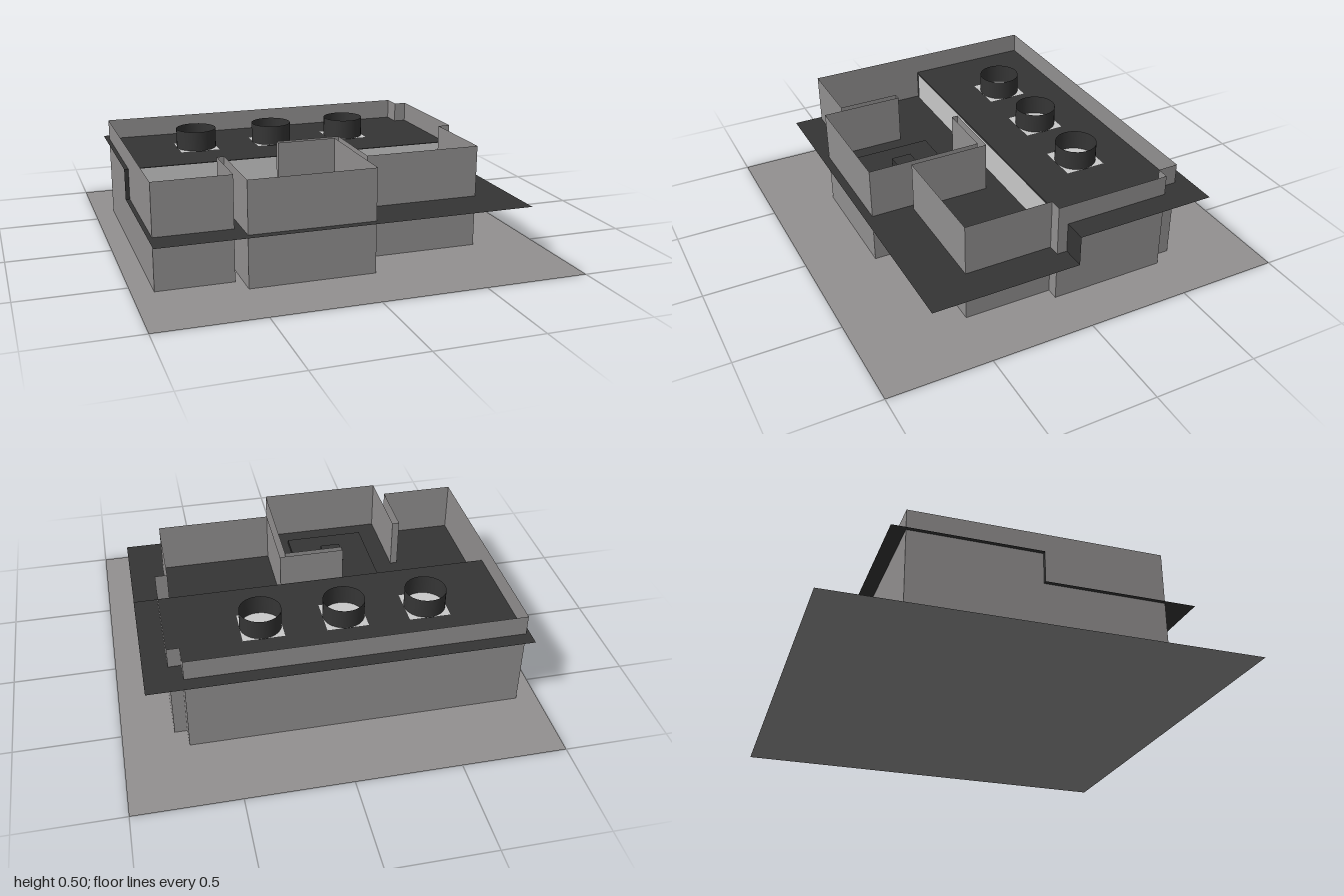
import * as THREE from 'three';

const mat = (name, color) => {
  const m = new THREE.MeshStandardMaterial({ color, side: THREE.DoubleSide });
  m.name = name;
  return m;
};

// Upright sheet following a plan path of [x, z] points
function sheet(path, y0, y1) {
  const pos = [], idx = [];
  for (let i = 0; i < path.length - 1; i++) {
    const [ax, az] = path[i], [bx, bz] = path[i + 1], n = i * 4;
    pos.push(ax, y0, az, bx, y0, bz, bx, y1, bz, ax, y1, az);
    idx.push(n, n + 1, n + 2, n, n + 2, n + 3);
  }
  const g = new THREE.BufferGeometry();
  g.setAttribute('position', new THREE.Float32BufferAttribute(pos, 3));
  g.setIndex(idx);
  g.computeVertexNormals();
  return g;
}

// Level sheet between two corners
function level(x0, x1, z0, z1, y) {
  return new THREE.PlaneGeometry(x1 - x0, z1 - z0).rotateX(-Math.PI / 2)
    .translate((x0 + x1) / 2, y, (z0 + z1) / 2);
}

export function createModel() {
  const group = new THREE.Group();
  const grey = mat('concrete grey', 0x929090);
  const dark = mat('roof charcoal', 0x353535);
  const light = mat('pale grey', 0xc9c9c9);
  const add = (name, geometry, material) => {
    const m = new THREE.Mesh(geometry, material);
    m.name = name;
    group.add(m);
    return m;
  };

  add('ground', level(-1, 1, -1, 1, 0), grey);

  // One continuous wall outline with bays, a fin wall and a courtyard
  const plan = [
    [-0.9, -0.62], [0.695, -0.62], [0.695, -0.52], [0.755, -0.52], [0.755, 0.05],
    [0.695, 0.05], [0.695, 0.48], [0.13, 0.48], [0.13, 0.09], [-0.19, 0.09],
    [-0.19, 0.12], [0.1, 0.12], [0.1, 0.68], [-0.5, 0.68], [-0.5, 0.28],
    [-0.535, 0.28], [-0.535, 0.58], [-0.9, 0.58], [-0.9, -0.62],
  ];
  add('walls', sheet(plan, 0, 0.5), grey);

  // Stepped roof
  add('upperRoof', level(-0.92, 0.87, -0.69, 0, 0.4), dark);
  add('lowerRoof', level(-0.92, 0.87, 0, 0.72, 0.25), dark);
  add('roofStep', sheet([[-0.92, 0], [0.87, 0]], 0.25, 0.4), dark);
  add('stepPanel', sheet([[-0.88, 0.004], [0.74, 0.004]], 0.25, 0.398), light);

  // Round roof lights over pale square panes
  for (const x of [-0.5, -0.1, 0.3]) {
    add('roofLightPane', level(x - 0.1, x + 0.1, -0.41, -0.21, 0.403), light);
    add('roofLightRing', new THREE.CylinderGeometry(0.1, 0.1, 0.1, 32, 1, true), dark)
      .position.set(x, 0.45, -0.31);
  }

  // Courtyard slab with a small block
  add('courtSlab', new THREE.BoxGeometry(0.4, 0.02, 0.4), dark).position.set(-0.2, 0.26, 0.38);
  add('courtBlock', new THREE.BoxGeometry(0.1, 0.05, 0.1), dark).position.set(-0.2, 0.285, 0.38);

  return group;
}
